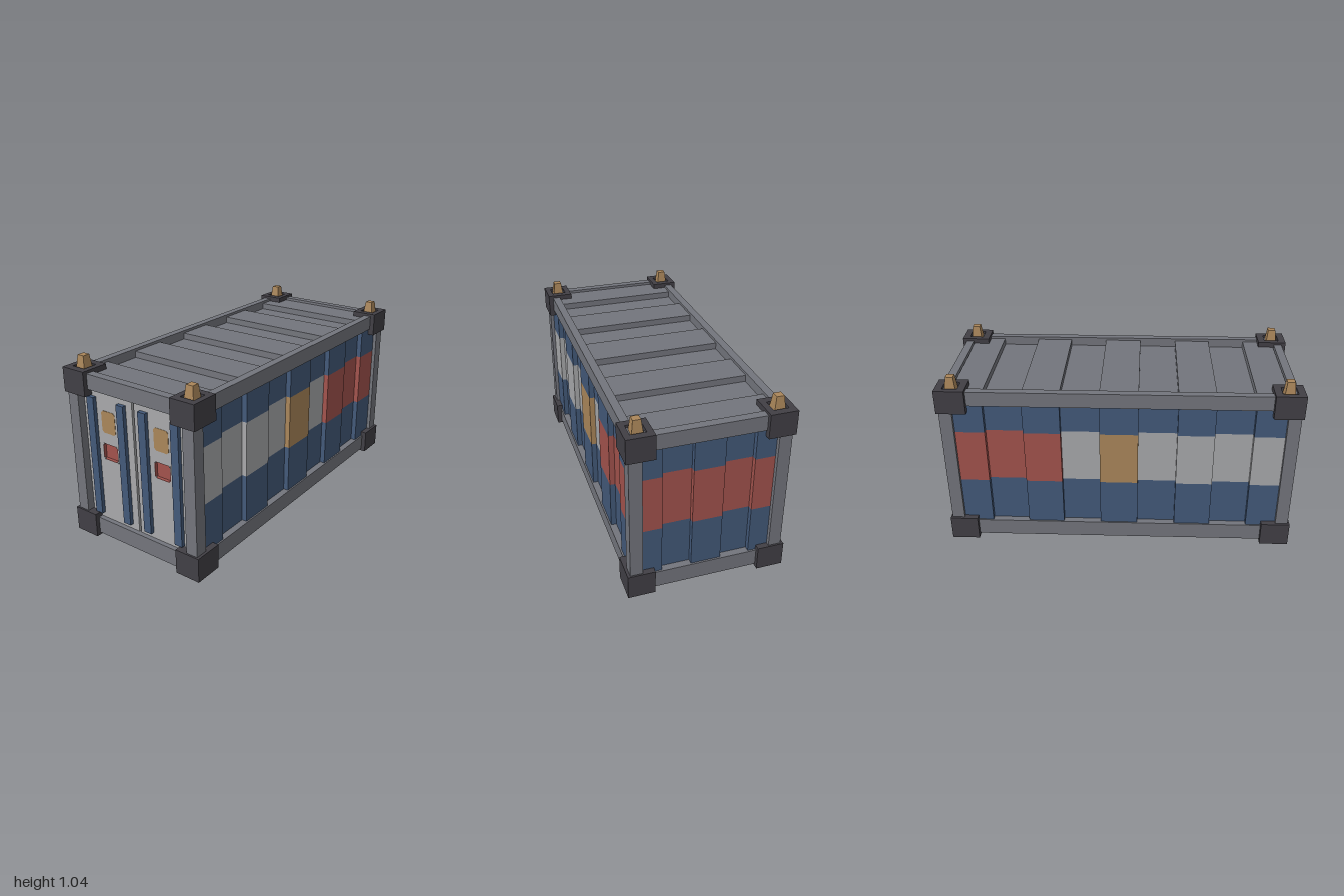
import * as THREE from 'three';

const mat = (name, color) => {
  const m = new THREE.MeshStandardMaterial({ color });
  m.name = name;
  return m;
};

export function createModel() {
  const root = new THREE.Group();
  root.name = 'shippingContainer';

  const steel = mat('steelGrey', 0x73757c);
  const dark = mat('cornerDark', 0x413f45);
  const blue = mat('panelBlue', 0x435979);
  const pale = mat('paleGrey', 0xa8a9ab);
  const red = mat('stripeRed', 0xa2534d);
  const tan = mat('tan', 0xaa865a);

  const add = (name, geometry, material, x = 0, y = 0, z = 0) => {
    const mesh = new THREE.Mesh(geometry, material);
    mesh.name = name;
    mesh.position.set(x, y, z);
    root.add(mesh);
    return mesh;
  };
  // Box given by its lower and upper limits on each axis
  const box = (name, material, [x0, x1], [y0, y1], [z0, z1]) => add(name,
    new THREE.BoxGeometry(Math.abs(x1 - x0), y1 - y0, Math.abs(z1 - z0)),
    material, (x0 + x1) / 2, (y0 + y1) / 2, (z0 + z1) / 2);
  // Rectangle outline, optionally as a hole path
  const rect = (Type, x0, x1, y0, y1) => new Type([[x0, y0], [x1, y0], [x1, y1], [x0, y1]]
    .map(([x, y]) => new THREE.Vector2(x, y)));
  const plateWithHole = (outer, inner, depth) => {
    const shape = rect(THREE.Shape, ...outer);
    shape.holes.push(rect(THREE.Path, ...inner));
    return new THREE.ExtrudeGeometry(shape, { depth, bevelEnabled: false });
  };

  // Corner posts, corner castings and tapered locking lugs
  for (const sx of [-1, 1]) for (const sz of [-1, 1]) {
    box('cornerPost', steel, [sx * 0.355, sx * 0.425], [0.1, 0.88], [sz * 0.918, sz * 0.99]);
    box('bottomCorner', dark, [sx * 0.29, sx * 0.44], [0, 0.14], [sz * 0.835, sz]);
    box('topCorner', dark, [sx * 0.29, sx * 0.44], [0.843, 0.955], [sz * 0.835, sz]);
    const rim = add('topCornerRim',
      plateWithHole([-0.075, 0.075, -0.0825, 0.0825], [-0.042, 0.042, -0.042, 0.042], 0.025),
      dark, sx * 0.365, 0.955, sz * 0.9175);
    rim.rotation.x = -Math.PI / 2;
    const lug = new THREE.CylinderGeometry(0.021 * Math.SQRT2, 0.031 * Math.SQRT2, 0.085, 4).toNonIndexed();
    lug.rotateY(Math.PI / 4);
    lug.computeVertexNormals();
    add('lockingLug', lug, tan, sx * 0.365, 0.9975, sz * 0.9175);
  }

  // Top and bottom frame rails
  for (const y of [[0.015, 0.113], [0.88, 0.965]]) for (const s of [-1, 1]) {
    box('sideRail', steel, [s * 0.368, s * 0.413], y, [-0.93, 0.93]);
    box('endRail', steel, [-0.37, 0.37], y, [s * 0.928, s * 0.976]);
  }

  // Floor
  box('floor', blue, [-0.37, 0.37], [0.06, 0.1], [-0.93, 0.93]);

  // Corrugated roof: raised and sunken panels alternate
  const folds = [0.925, 0.747, 0.533, 0.325, 0.108, -0.108, -0.325, -0.533, -0.747, -0.925];
  for (let i = 0; i < 9; i++) {
    box('roofPanel', steel, [-0.37, 0.37], [0.9, i % 2 ? 0.913 : 0.95], [folds[i + 1], folds[i]]);
  }

  // Corrugated walls in three bands, the middle one striped
  const bands = [[0.1, 0.393], [0.393, 0.71], [0.71, 0.9]];
  for (let i = 0; i < 9; i++) {
    const stripe = i === 4 ? tan : i >= 6 ? red : pale;
    for (const s of [-1, 1]) bands.forEach((band, b) => {
      box(b === 1 ? 'sideStripe' : 'sidePanel', b === 1 ? stripe : blue,
        [s * 0.36, s * (i % 2 ? 0.374 : 0.404)], band, [folds[i + 1], folds[i]]);
    });
  }
  const backFolds = [-0.36, -0.245, -0.083, 0.083, 0.245, 0.36];
  for (let i = 0; i < 5; i++) bands.forEach((band, b) => {
    box(b === 1 ? 'backStripe' : 'backPanel', b === 1 ? red : blue,
      [backFolds[i], backFolds[i + 1]], band, [-0.92, i % 2 ? -0.936 : -0.966]);
  });

  // Front doors with lock bars, a badge plate and a recessed handle pocket
  const doorFront = 0.95;
  const pocket = [-0.053, 0.053, 0.485, 0.58];
  const lined = [-0.051, 0.051, 0.487, 0.578];
  for (const s of [-1, 1]) {
    const cx = s * 0.182;
    const inner = s * 0.007 - cx, outer = s * 0.35 - cx;
    add('door', plateWithHole([Math.min(inner, outer), Math.max(inner, outer), 0.112, 0.882], pocket, 0.03),
      pale, cx, 0, doorFront - 0.03);
    add('pocketLining', plateWithHole(pocket, lined, 0.03), red, cx, 0, doorFront - 0.03);
    box('pocketBack', red, [cx - 0.053, cx + 0.053], [0.485, 0.58], [doorFront - 0.03, doorFront - 0.018]);
    for (const px of [-1, 1]) for (const y of [0.489, 0.576]) {
      box('pocketRivet', pale, [cx + px * 0.044, cx + px * 0.053], [y - 0.005, y + 0.005],
        [doorFront - 0.005, doorFront + 0.001]);
    }
    for (const x of [0.0745, 0.2865]) {
      box('lockBar', blue, [s * x - 0.0245, s * x + 0.0245], [0.145, 0.838], [doorFront - 0.005, doorFront + 0.022]);
    }
    // Badge with clipped corners
    const w = 0.048, h = 0.063, c = 0.012;
    const badge = new THREE.Shape([[-w + c, -h], [w - c, -h], [w, -h + c], [w, h - c],
      [w - c, h], [-w + c, h], [-w, h - c], [-w, -h + c]].map(([x, y]) => new THREE.Vector2(x, y)));
    add('doorBadge', new THREE.ExtrudeGeometry(badge, { depth: 0.003, bevelEnabled: false }),
      tan, cx, 0.707, doorFront - 0.001);
  }

  return root;
}
